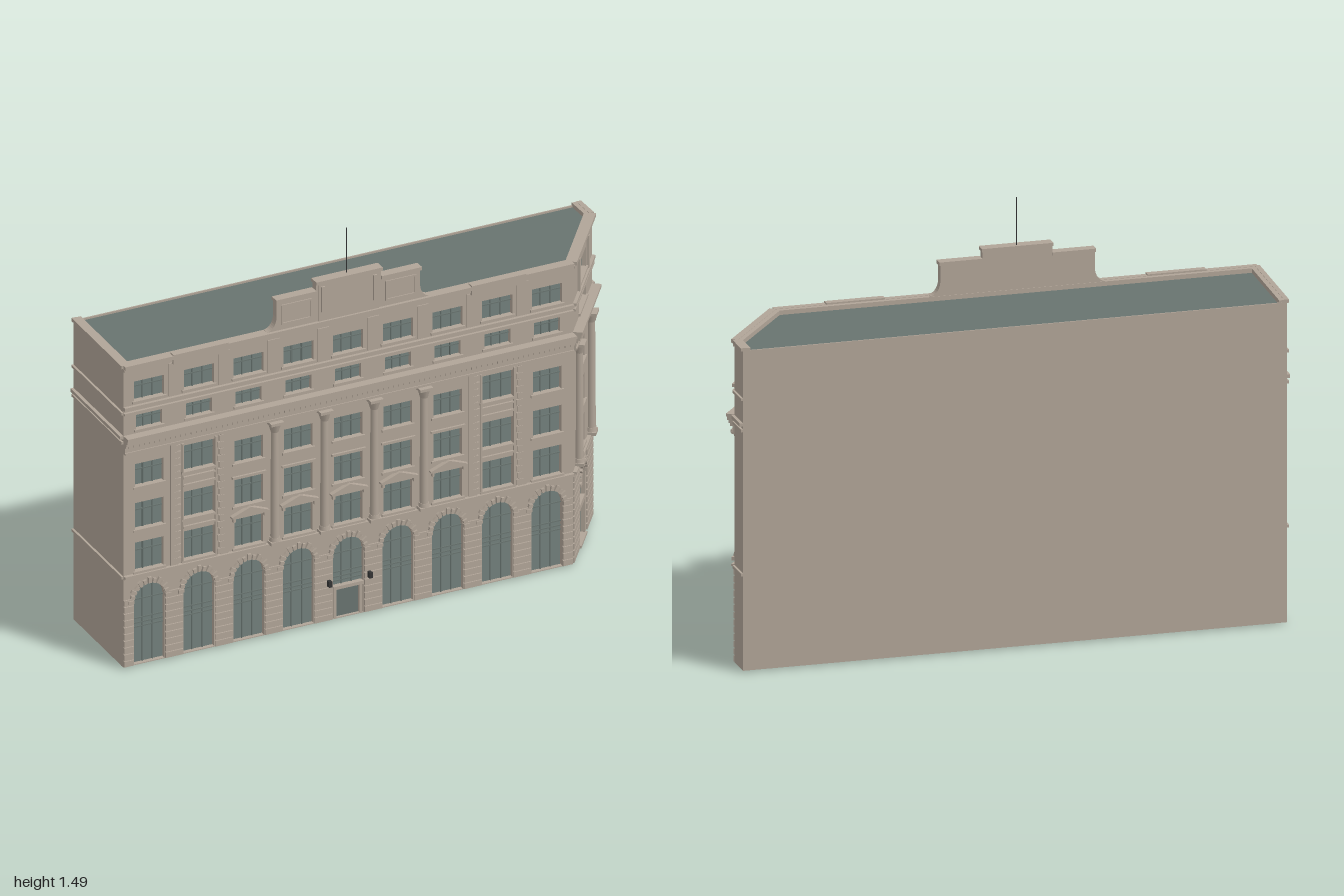
import * as THREE from 'three';
import { mergeGeometries } from 'three/addons/utils/BufferGeometryUtils.js';

const mat = (name, hex) => {
  const m = new THREE.MeshStandardMaterial({ color: hex });
  m.name = name;
  return m;
};
const STONE = mat('stone', 0xb0a497), GLASS = mat('glass', 0x727f7b), FRAME = mat('window frame', 0x68736f);
const ROOF = mat('slate roof', 0x68736f), METAL = mat('dark metal', 0x333434);

// Footprint corners [x, z]: front, chamfered corner, right side, back, left side
const PLAN = [[-0.99, 0.185], [0.74, 0.185], [0.97, -0.12], [0.97, -0.22], [-0.975, -0.22]];

const box = (u, y0, y1, w, z0, z1) =>
  new THREE.BoxGeometry(w, y1 - y0, z1 - z0).translate(u, (y0 + y1) / 2, (z0 + z1) / 2);

function extrude(shape, z0, z1) {
  return new THREE.ExtrudeGeometry(shape, { depth: z1 - z0, bevelEnabled: false, curveSegments: 8 }).translate(0, 0, z0);
}
const polygon = pts => new THREE.Shape(pts.map(p => new THREE.Vector2(p[0], p[1])));

// Prism over a plan outline
function planPrism(pts, y0, y1) {
  return new THREE.ExtrudeGeometry(polygon(pts.map(([x, z]) => [x, -z])), { depth: y1 - y0, bevelEnabled: false })
    .rotateX(-Math.PI / 2).translate(0, y0, 0);
}

// A face of the building: local x runs along it, local z points outwards.
// Pieces sharing a name are merged into one mesh.
function makeFace(name, p, q) {
  const dx = q[0] - p[0], dz = q[1] - p[1], pieces = new Map();
  const group = new THREE.Group();
  group.name = name;
  group.position.set((p[0] + q[0]) / 2, 0, (p[1] + q[1]) / 2);
  group.rotation.y = Math.atan2(-dz, dx);
  return {
    group, width: Math.hypot(dx, dz),
    add(part, material, ...geos) {
      if (!pieces.has(part)) pieces.set(part, { material, geos: [] });
      pieces.get(part).geos.push(...geos.map(g => (g.index ? g.toNonIndexed() : g)));
    },
    finish() {
      for (const [part, { material, geos }] of pieces) {
        const mesh = new THREE.Mesh(mergeGeometries(geos), material);
        mesh.name = part;
        group.add(mesh);
      }
      return group;
    },
  };
}

// Wall with window openings, glass behind it, frames and sills
function windowWall(f, windows) {
  const h = f.width / 2;
  const wall = polygon([[-h, 0], [h, 0], [h, 1.15], [-h, 1.15]]);
  for (const { u, w, y0, y1, arch, cols = 3, bars = [0.68] } of windows) {
    const a = w / 2, hole = new THREE.Path();
    hole.moveTo(u - a, y0);
    hole.lineTo(u + a, y0);
    if (arch) {
      hole.lineTo(u + a, y1 - a);
      hole.absarc(u, y1 - a, a, 0, Math.PI, false);
    } else {
      hole.lineTo(u + a, y1);
      hole.lineTo(u - a, y1);
    }
    hole.lineTo(u - a, y0);
    wall.holes.push(hole);
    for (let i = 1; i < cols; i++)
      f.add('windowFrames', FRAME, box(u - a + (w * i) / cols, y0, y1, 0.004, -0.017, -0.012));
    for (const t of bars) {
      const y = y0 + (y1 - y0) * t;
      f.add('windowFrames', FRAME, box(u, y - 0.002, y + 0.002, w, -0.017, -0.011));
    }
    if (!arch) f.add('sills', STONE, box(u, y0 - 0.009, y0, w + 0.016, -0.015, 0.007));
  }
  f.add('wall', STONE, extrude(wall, -0.02, 0));
  f.add('glass', GLASS, box(0, 0.002, 1.12, f.width - 0.04, -0.022, -0.016));
}

// Ring of wedge stones round an arch
function archStones(f, u, spring, r) {
  for (let i = 0; i <= 12; i++) {
    const long = i % 2 ? 0.016 : 0.022;
    f.add('archStones', STONE, new THREE.BoxGeometry(long, 0.012, 0.012)
      .translate(r + long / 2, 0, 0.003).rotateZ((Math.PI * i) / 12).translate(u, spring, 0));
  }
}

// Block courses across a ground floor pier
function courses(f, u, w, top) {
  for (let y = 0.002; y + 0.02 < top; y += 0.026)
    f.add('stoneCourses', STONE, box(u, y, y + 0.021, w, -0.005, 0.005));
}

function column(f, u) {
  const z = 0.01;
  f.add('columns', STONE,
    box(u, 0.35, 0.362, 0.046, z - 0.022, z + 0.02),
    new THREE.CylinderGeometry(0.018, 0.02, 0.014, 14).translate(u, 0.369, z),
    new THREE.CylinderGeometry(0.0135, 0.016, 0.41, 14).translate(u, 0.58, z),
    new THREE.CylinderGeometry(0.023, 0.014, 0.032, 10).translate(u, 0.796, z),
    box(u, 0.81, 0.82, 0.05, z - 0.025, z + 0.023));
}

// Horizontal mouldings [bottom, top, projection]
function mouldings(f, list, w = f.width) {
  for (const [y0, y1, out] of list) f.add('mouldings', STONE, box(0, y0, y1, w, -0.01, out));
}
const PLAIN = [[0.34, 0.35, 0.008], [0.858, 0.868, 0.008], [0.878, 0.89, 0.012], [0.97, 0.98, 0.008], [1.148, 1.16, 0.008]];
const RICH = [[0.338, 0.344, 0.008], [0.344, 0.352, 0.014], [0.82, 0.828, 0.014], [0.828, 0.848, 0.01], [0.848, 0.858, 0.018],
  [0.858, 0.868, 0.024], [0.868, 0.88, 0.03], [0.88, 0.89, 0.034], [0.97, 0.978, 0.01], [0.988, 1.0, 0.012],
  [1.135, 1.145, 0.008], [1.147, 1.16, 0.014]];

const STOREYS = [[0.36, 0.47, 0.11], [0.52, 0.622, 0.11], [0.685, 0.772, 0.11], [0.905, 0.96, 0.1], [1.015, 1.09, 0.116]];
const PITCH = 0.1915;

function buildFront(f) {
  const windows = [];
  for (let i = -4; i <= 4; i++) {
    const u = i * PITCH, framed = Math.abs(i) === 3;
    windows.push({ u, w: 0.118, y0: 0.003, y1: 0.305, arch: true, bars: [0.45, 0.5, 0.56, 0.8] });
    STOREYS.forEach(([y0, y1, w], s) =>
      windows.push({ u, w: framed && s < 3 ? 0.12 : w, y0: framed && s === 2 ? 0.7 : y0, y1: framed && s === 2 ? 0.8 : y1 }));
    archStones(f, u, 0.246, 0.06);
    // Pediments and lintels of the five middle bays
    if (Math.abs(i) <= 2) {
      f.add('pediments', STONE, extrude(polygon([[u - 0.072, 0.482], [u - 0.05, 0.482], [u, 0.503],
        [u + 0.05, 0.482], [u + 0.072, 0.482], [u + 0.072, 0.488], [u, 0.515], [u - 0.072, 0.488]]), -0.005, 0.018));
      f.add('lintels', STONE, box(u, 0.628, 0.636, 0.13, -0.005, 0.008));
      for (const s of [-1, 1]) f.add('brackets', STONE, box(u + s * 0.06, 0.465, 0.483, 0.009, -0.005, 0.012));
    }
    // Moulded surround and quoins of the two framed bays
    if (framed) {
      for (const s of [-1, 1]) {
        f.add('baySurrounds', STONE, box(u + s * 0.064, 0.36, 0.81, 0.007, -0.005, 0.007));
        for (let k = 0; k < 18; k++)
          f.add('quoins', STONE, box(u + s * 0.084, 0.356 + k * 0.0255, 0.377 + k * 0.0255, k % 2 ? 0.018 : 0.026, -0.005, 0.007));
      }
      for (const y of [0.485, 0.645, 0.675]) f.add('baySurrounds', STONE, box(u, y, y + 0.007, 0.128, -0.005, 0.008));
      f.add('parapetPanels', STONE, box(u, 1.128, 1.165, 0.21, -0.01, 0.016));
    }
  }
  windowWall(f, windows);

  // Piers, columns and pilasters between bays
  for (let i = 0; i < 10; i++) {
    const u = (i - 4.5) * PITCH, end = i === 0 || i === 9;
    courses(f, end ? Math.sign(u) * 0.845 : u, end ? 0.038 : 0.068, 0.27);
    if (i >= 3 && i <= 6) column(f, u);
    else if (!end) f.add('pilasters', STONE, box(u, 0.352, 0.82, 0.03, -0.005, 0.005));
    if (!end) f.add('atticPiers', STONE, box(u, 1.004, 1.13, 0.045, -0.005, 0.004));
  }
  mouldings(f, RICH);
  for (let u = -0.85; u < 0.86; u += 0.02) f.add('dentils', STONE, box(u, 0.848, 0.857, 0.01, 0, 0.022));

  // Entrance
  for (const s of [-1, 1]) {
    f.add('doorFrame', STONE, box(s * 0.05, 0, 0.12, 0.011, -0.018, 0));
    f.add('wallLamps', METAL, box(s * 0.078, 0.136, 0.158, 0.012, 0.004, 0.022));
  }
  f.add('doorFrame', STONE, box(0, 0.112, 0.124, 0.116, -0.018, 0.004));
  f.add('door', FRAME, box(0, 0.003, 0.112, 0.09, -0.017, -0.011));

  // Stepped gable with curved shoulders
  const g = new THREE.Shape();
  g.moveTo(-0.312, 1.14);
  g.lineTo(-0.312, 1.16);
  g.quadraticCurveTo(-0.28, 1.168, -0.276, 1.21);
  for (const [x, y] of [[-0.276, 1.275], [-0.125, 1.275], [-0.125, 1.305], [0.125, 1.305], [0.125, 1.275], [0.276, 1.275], [0.276, 1.21]]) g.lineTo(x, y);
  g.quadraticCurveTo(0.28, 1.168, 0.312, 1.16);
  g.lineTo(0.312, 1.14);
  f.add('gable', STONE, extrude(g, -0.025, 0.002), box(0, 1.16, 1.3, 0.23, -0.02, 0.006));
  f.add('gableCaps', STONE, box(0, 1.303, 1.315, 0.256, -0.028, 0.012));
  for (const s of [-1, 1]) {
    f.add('gableCaps', STONE, box(s * 0.203, 1.268, 1.28, 0.155, -0.027, 0.009));
    f.add('gablePilasters', STONE, box(s * 0.1, 1.195, 1.292, 0.014, 0, 0.012));
    for (const x of [0.145, 0.257]) f.add('gablePanels', STONE, box(s * x, 1.18, 1.255, 0.006, 0, 0.006));
    for (const y of [1.18, 1.249]) f.add('gablePanels', STONE, box(s * 0.201, y, y + 0.006, 0.115, 0, 0.006));
  }
  f.add('flagpole', METAL, new THREE.CylinderGeometry(0.0025, 0.0025, 0.3, 8).translate(0, 1.335, -0.012));
}

function buildCorner(f) {
  windowWall(f, [
    { u: 0, w: 0.1, y0: 0.003, y1: 0.13, cols: 2, bars: [0.8] },
    { u: 0, w: 0.1, y0: 0.15, y1: 0.292, arch: true, cols: 2, bars: [0.5] },
    ...STOREYS.map(([y0, y1], s) => ({ u: 0, w: s < 3 ? 0.09 : 0.142, y0, y1, cols: s < 3 ? 2 : 4 })),
  ]);
  archStones(f, 0, 0.242, 0.052);
  for (const s of [-1, 1]) {
    courses(f, s * 0.13, 0.115, 0.34);
    column(f, s * 0.12);
    f.add('atticPilasters', STONE, box(s * 0.09, 1.002, 1.125, 0.016, -0.005, 0.009));
  }
  mouldings(f, RICH, f.width - 0.006);
}

export function createModel() {
  const model = new THREE.Group();
  model.name = 'building';
  const add = (name, geo, material) => {
    const mesh = new THREE.Mesh(geo, material);
    mesh.name = name;
    model.add(mesh);
  };
  // Solid core, set back behind the two windowed faces
  add('core', planPrism([[-0.989, 0.165], [0.73, 0.165], [0.954, -0.132], ...PLAN.slice(2)], 0, 1.13), STONE);
  add('roof', planPrism([[-0.98, 0.165], [0.73, 0.165], [0.955, -0.135], [0.965, -0.217], [-0.973, -0.217]], 1.13, 1.143), ROOF);

  ['frontFace', 'cornerFace', 'rightFace', 'backFace', 'leftFace'].forEach((name, i) => {
    const f = makeFace(name, PLAN[i], PLAN[(i + 1) % 5]);
    if (i === 0) buildFront(f);
    else if (i === 1) buildCorner(f);
    else if (i !== 3) mouldings(f, PLAIN);
    const thick = i === 3 ? 0.005 : 0.027;
    f.add('parapet', STONE, box(0, 1.125, i === 3 ? 1.15 : 1.159, f.width, -thick, 0));
    model.add(f.finish());
  });
  return model;
}
